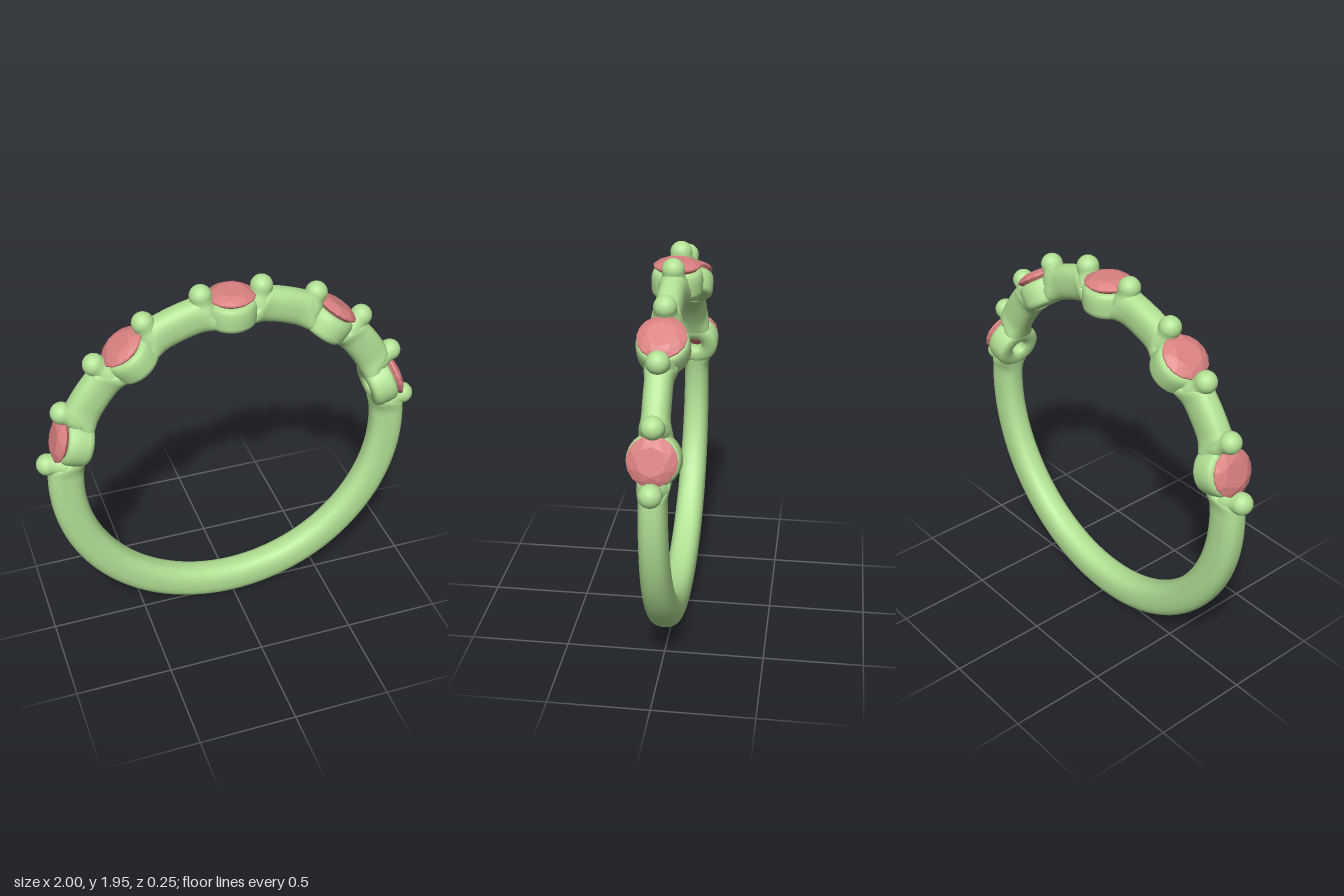
import * as THREE from 'three';
import { ConvexGeometry } from 'three/addons/geometries/ConvexGeometry.js';

const CENTRE_Y = 0.955;
const INNER = 0.773, OUTER = 0.955;
const STEP = 36;                               // degrees between settings
const STONES = [-72, -36, 0, 36, 72];          // degrees from the top
const PRONG = 9.1;                             // prong offset from its stone

const metal = new THREE.MeshStandardMaterial({ color: 0xb2e094, side: THREE.DoubleSide });
const stone = new THREE.MeshStandardMaterial({ color: 0xd98080, flatShading: true });
const smooth = THREE.MathUtils.smoothstep;

function add(parent, name, geometry, material) {
  const mesh = new THREE.Mesh(geometry, material);
  mesh.name = name;
  parent.add(mesh);
  return mesh;
}

// Band section between two angles (degrees clockwise from the top):
// rounded cross-section, lowered and widened where it meets a setting.
function bandSection(from, to) {
  const rings = Math.ceil((to - from) / 1.2), sides = 32;
  const pos = [], index = [];
  for (let i = 0; i <= rings; i++) {
    const deg = from + (to - from) * i / rings;
    const a = THREE.MathUtils.degToRad(deg);
    const gap = Math.min(...STONES.map(s => Math.abs(((deg - s + 540) % 360) - 180)));
    const outer = 0.875 + (OUTER - 0.007 * (Math.cos(a) + 1) / 2 - 0.875) * smooth(gap, 7, 10.5);
    const halfWidth = 0.065 + 0.012 * smooth(-Math.cos(a), -0.3, 1) + 0.014 * (1 - smooth(gap, 7, 13));
    const mid = (outer + INNER) / 2, halfDepth = (outer - INNER) / 2;
    for (let j = 0; j < sides; j++) {
      const t = j / sides * Math.PI * 2, c = Math.cos(t), s = Math.sin(t);
      const r = mid + halfDepth * Math.sign(c) * Math.abs(c) ** 0.8;
      const z = halfWidth * Math.sign(s) * Math.abs(s) ** 0.8;
      pos.push(r * Math.sin(a), r * Math.cos(a), z);
      if (i < rings) {
        const p = i * sides + j, q = i * sides + (j + 1) % sides;
        index.push(p, q, p + sides, q, q + sides, p + sides);
      }
    }
  }
  const g = new THREE.BufferGeometry();
  g.setAttribute('position', new THREE.Float32BufferAttribute(pos, 3));
  g.setIndex(index);
  g.computeVertexNormals();
  return g;
}

const lathe = (points, segments) =>
  new THREE.LatheGeometry(points.map(p => new THREE.Vector2(...p)), segments);

// Open cup with a rounded rim and a small hole through to the finger side
function seatGeometry() {
  return lathe([
    [0.085, 0.902], [0.042, 0.845], [0.038, 0.81], [0.042, 0.788], [0.055, 0.775],
    [0.085, 0.771], [0.108, 0.775], [0.12, 0.786], [0.125, 0.803], [0.126, 0.85],
    [0.124, 0.878], [0.117, 0.895], [0.106, 0.903], [0.085, 0.902],
  ], 40);
}

// Flared stalk ending in a round bead
function prongGeometry() {
  const points = [[0.072, 0.87], [0.068, 0.895], [0.057, 0.918], [0.053, 0.935]];
  for (let i = 0; i <= 10; i++) {
    const t = i / 10 * Math.PI / 2;
    points.push([0.055 * Math.cos(t), 0.957 + 0.055 * Math.sin(t)]);
  }
  return lathe(points, 24);
}

// Faceted round stone: table, crown, girdle, pavilion
function stoneGeometry() {
  const points = [];
  const ring = (n, r, y, turn = 0) => {
    for (let i = 0; i < n; i++) {
      const a = (i + turn) / n * Math.PI * 2;
      points.push(new THREE.Vector3(r * Math.cos(a), y, r * Math.sin(a)));
    }
  };
  ring(8, 0.068, 0.952);
  ring(8, 0.095, 0.942, 0.5);
  ring(16, 0.116, 0.927);
  ring(16, 0.116, 0.919);
  ring(8, 0.06, 0.872, 0.5);
  points.push(new THREE.Vector3(0, 0.835, 0));
  return new ConvexGeometry(points);
}

export function createModel() {
  const model = new THREE.Group();
  model.name = 'ring';
  const ring = new THREE.Group();
  ring.name = 'ringBody';
  ring.position.y = CENTRE_Y;
  model.add(ring);

  // Short sections between settings, then the long lower section
  const end = 7;
  for (let i = 0; i < STONES.length - 1; i++) {
    add(ring, 'upperBand', bandSection(STONES[i] + end, STONES[i] + STEP - end), metal);
  }
  add(ring, 'lowerBand', bandSection(72 + end, 288 - end), metal);

  // Settings: seat, stone and a prong on each side
  const seat = seatGeometry(), gem = stoneGeometry(), prong = prongGeometry();
  for (const deg of STONES) {
    const setting = new THREE.Group();
    setting.name = 'setting';
    setting.rotation.z = -THREE.MathUtils.degToRad(deg);
    ring.add(setting);
    add(setting, 'seat', seat, metal);
    add(setting, 'stone', gem, stone);
    for (const side of [-1, 1]) {
      add(setting, 'prong', prong, metal).rotation.z = side * THREE.MathUtils.degToRad(PRONG);
    }
  }
  return model;
}
